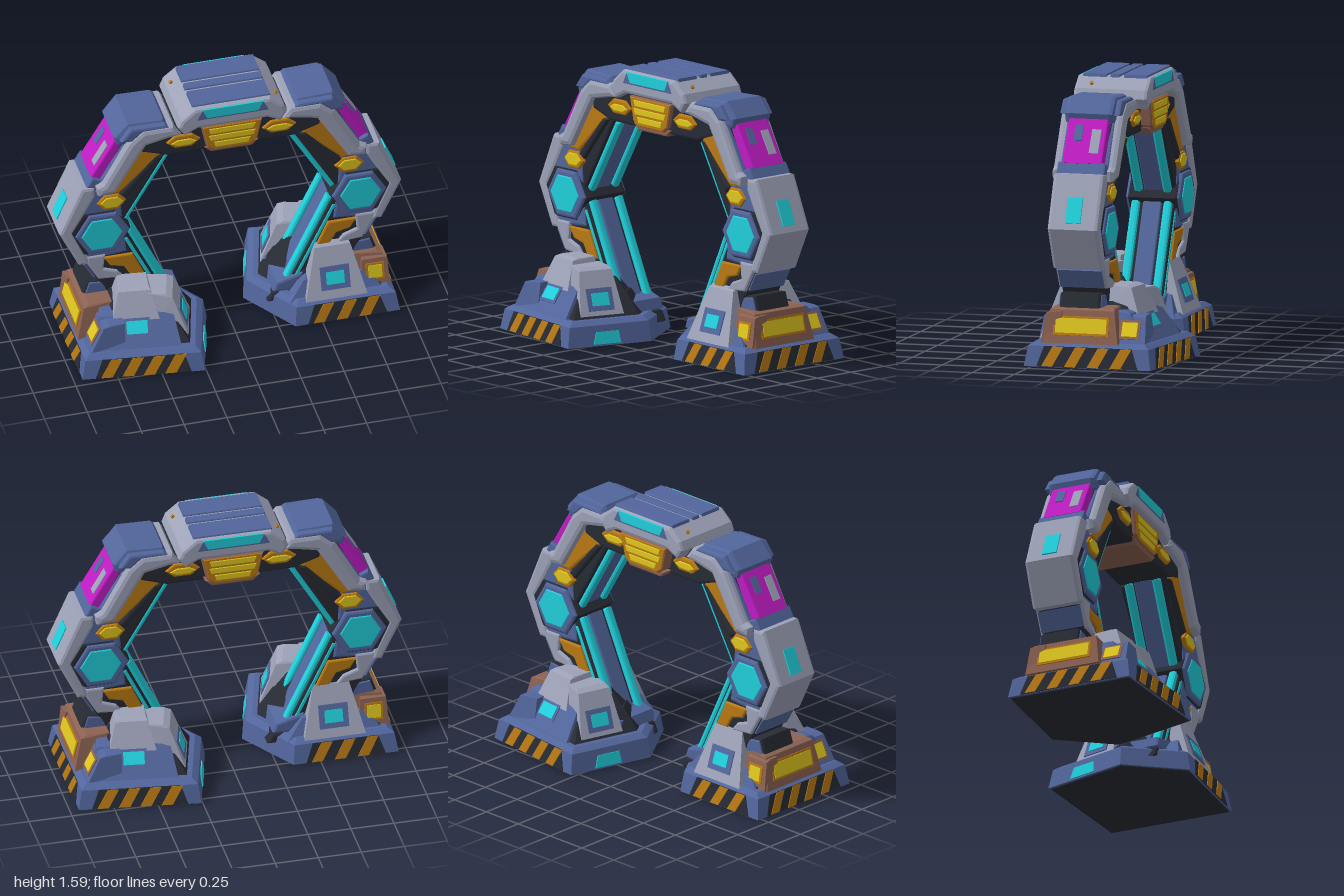
import * as THREE from 'three';
import { ConvexGeometry } from 'three/addons/geometries/ConvexGeometry.js';

const mat = (name, color) => {
  const m = new THREE.MeshStandardMaterial({ color });
  m.name = name;
  return m;
};

export function createModel() {
  const grey = mat('pale grey armour', 0x9da2b8);
  const blue = mat('slate blue frame', 0x52669c);
  const dark = mat('charcoal core', 0x272b34);
  const orange = mat('amber panel', 0xbb7a14);
  const yellow = mat('yellow light', 0xe0c81e);
  const cyan = mat('cyan light', 0x20d0dc);
  const magenta = mat('magenta panel', 0xc01cc4);
  const brown = mat('brown housing', 0x8c6252);

  const add = (parent, name, geometry, material) => {
    const m = new THREE.Mesh(geometry, material);
    m.name = name;
    parent.add(m);
    return m;
  };
  const outline = (pts) => new THREE.Shape(pts.map((p) => new THREE.Vector2(p[0], p[1])));

  // bevelled slab from an x-y outline, centred in z
  const slab = (parent, name, material, pts, half, bevel = 0.015) => {
    const g = new THREE.ExtrudeGeometry(outline(pts), {
      depth: 2 * (half - bevel), bevelEnabled: true, bevelThickness: bevel,
      bevelSize: bevel, bevelOffset: -bevel, bevelSegments: 2,
    });
    g.translate(0, 0, bevel - half);
    return add(parent, name, g, material);
  };
  // bar running from a to b, thickened to the left of its direction
  const strip = (parent, name, material, a, b, t, half, bevel = 0.004) => {
    const dx = b[0] - a[0], dy = b[1] - a[1], l = Math.hypot(dx, dy);
    const ox = (-dy / l) * t, oy = (dx / l) * t;
    return slab(parent, name, material,
      [a, b, [b[0] + ox, b[1] + oy], [a[0] + ox, a[1] + oy]], half, bevel);
  };
  const hexagon = (cx, cy, rx, ry) => [0, 1, 2, 3, 4, 5].map((i) =>
    [cx + rx * Math.cos(i * Math.PI / 3), cy + ry * Math.sin(i * Math.PI / 3) / 0.866]);
  const hull = (parent, name, material, pts) =>
    add(parent, name, new ConvexGeometry(pts.map((p) => new THREE.Vector3(...p))), material);

  // ---------- one side of the arch ----------
  function archHalf() {
    const g = new THREE.Group();
    g.name = 'archSide';
    slab(g, 'armCore', dark, [[-0.01, 1.27], [0.37, 1.25], [0.63, 0.8], [0.3, 0.1], [0.6, 0.1],
      [0.79, 0.46], [0.86, 0.58], [0.93, 0.8], [0.6, 1.42], [-0.01, 1.47]], 0.128);
    slab(g, 'topBeam', dark, [[-0.01, 1.25], [0.37, 1.25], [0.52, 1.3], [0.55, 1.44], [-0.01, 1.47]], 0.155);
    // inner rail with a light strip along each edge
    for (const [a, b, z] of [[[0.625, 0.82], [0.375, 1.25], 0.085], [[0.35, 0.2], [0.605, 0.74], 0.095]]) {
      strip(g, 'innerRail', blue, a, b, 0.02, 0.055, 0.008);
      for (const s of [-1, 1]) strip(g, 'lightStrip', cyan, a, b, 0.036, 0.026, 0.015).position.z = s * z;
    }
    strip(g, 'lowerFrontLight', cyan, [0.36, 0.2], [0.6, 0.7], -0.02, 0.133);
    // upper arm armour
    slab(g, 'shoulderArmour', grey, [[0.29, 1.4], [0.34, 1.47], [0.52, 1.47], [0.6, 1.4], [0.75, 1.13], [0.79, 1.11],
      [0.78, 1.05], [0.68, 1.06], [0.5, 1.36], [0.36, 1.39]], 0.188, 0.028);
    slab(g, 'armInset', orange, [[0.41, 1.26], [0.47, 1.36], [0.55, 1.34], [0.73, 1.04], [0.65, 1.03]], 0.15);
    slab(g, 'armInsetEdge', dark, [[0.4, 1.25], [0.44, 1.26], [0.65, 1.02], [0.61, 0.99]], 0.153);
    slab(g, 'cornerBlock', blue, [[0.34, 1.42], [0.39, 1.5], [0.6, 1.51], [0.68, 1.42], [0.66, 1.36],
      [0.45, 1.36]], 0.145, 0.025);
    slab(g, 'shoulderTrim', blue, [[0.36, 1.46], [0.39, 1.485], [0.59, 1.49], [0.65, 1.41], [0.58, 1.4],
      [0.52, 1.455]], 0.178);
    // magenta panel on the outer slope
    slab(g, 'panelFrame', blue, [[0.56, 1.35], [0.62, 1.37], [0.755, 1.135], [0.805, 1.16], [0.84, 1.1], [0.76, 1.06]], 0.142, 0.01);
    slab(g, 'outerPanel', magenta, [[0.59, 1.34], [0.67, 1.39], [0.81, 1.155], [0.73, 1.11]], 0.118, 0.01);
    strip(g, 'panelWindow', grey, [0.778, 1.208], [0.703, 1.335], -0.006, 0.028, 0.002).position.z = -0.06;
    strip(g, 'panelSlot', blue, [0.74, 1.272], [0.69, 1.356], -0.005, 0.025, 0.002).position.z = 0.045;
    // knee
    slab(g, 'kneeBlock', blue, [[0.64, 1.04], [0.8, 1.08], [0.92, 0.8], [0.83, 0.58], [0.6, 0.6], [0.625, 0.8]], 0.137);
    slab(g, 'kneeArmour', grey, [[0.79, 1.1], [0.87, 1.1], [1.0, 0.8], [0.885, 0.56], [0.82, 0.56],
      [0.84, 0.63], [0.915, 0.8], [0.79, 1.03]], 0.15, 0.02);
    slab(g, 'shinArmour', grey, [[0.73, 0.61], [0.84, 0.61], [0.84, 0.56], [0.77, 0.44], [0.62, 0.43], [0.66, 0.48],
      [0.74, 0.51]], 0.146, 0.012);
    slab(g, 'kneeCap', dark, hexagon(0.77, 0.77, 0.19, 0.145), 0.147);
    slab(g, 'kneeRing', blue, hexagon(0.75, 0.77, 0.16, 0.135), 0.16);
    slab(g, 'kneeLight', cyan, hexagon(0.755, 0.77, 0.12, 0.102), 0.166, 0.006);
    strip(g, 'outerKneeLight', cyan, [0.985, 0.835], [0.925, 0.974], -0.008, 0.045, 0.002);
    slab(g, 'lampFrame', orange, hexagon(0.695, 0.975, 0.085, 0.05), 0.15, 0.01);
    slab(g, 'lamp', yellow, hexagon(0.695, 0.978, 0.068, 0.035), 0.156, 0.005);
    // lower leg
    slab(g, 'legInset', orange, [[0.57, 0.585], [0.74, 0.585], [0.7, 0.52], [0.62, 0.5], [0.58, 0.43], [0.5, 0.43]], 0.143, 0.01);
    strip(g, 'shinBack', blue, [0.785, 0.45], [0.845, 0.555], -0.012, 0.13);
    slab(g, 'heelBrace', dark, [[0.7, 0.41], [0.83, 0.42], [0.86, 0.33], [0.7, 0.15], [0.6, 0.2]], 0.12);
    slab(g, 'heelTrim', blue, [[0.72, 0.4], [0.82, 0.41], [0.845, 0.33], [0.72, 0.2]], 0.126, 0.006);
    slab(g, 'toe', dark, [[0.22, 0.08], [0.25, 0.14], [0.36, 0.16], [0.42, 0.24], [0.5, 0.08]], 0.138);
    slab(g, 'toeCap', blue, [[0.25, 0.15], [0.27, 0.21], [0.37, 0.24], [0.43, 0.26], [0.45, 0.2], [0.36, 0.14]], 0.142);
    // beam side lamp
    slab(g, 'beamLampFrame', orange, hexagon(0.28, 1.345, 0.1, 0.042), 0.17, 0.01);
    slab(g, 'beamLamp', yellow, hexagon(0.28, 1.34, 0.075, 0.02), 0.176, 0.005);
    return g;
  }

  // ---------- crown ----------
  function crown() {
    const g = new THREE.Group();
    g.name = 'crown';
    slab(g, 'crownHousing', grey, [[-0.28, 1.4], [-0.32, 1.46], [-0.3, 1.51], [-0.22, 1.575], [0.22, 1.575],
      [0.3, 1.51], [0.32, 1.46], [0.28, 1.4], [0.2, 1.44], [-0.2, 1.44]], 0.22, 0.02);
    slab(g, 'crownLightFrame', blue, [[-0.21, 1.5], [-0.18, 1.56], [0.18, 1.56], [0.21, 1.5]], 0.221, 0.002);
    slab(g, 'crownLight', cyan, [[-0.15, 1.508], [-0.178, 1.568], [0.178, 1.568], [0.15, 1.508]], 0.223, 0.002);
    for (const [z, half] of [[-0.125, 0.072], [0.115, 0.072], [-0.005, 0.03]])
      slab(g, 'roofPanel', blue, [[-0.235, 1.54], [-0.225, 1.586], [0.225, 1.586], [0.235, 1.54]], half, 0.008).position.z = z;
    for (const s of [-1, 1]) {
      const bolt = add(g, 'bolt', new THREE.CylinderGeometry(0.011, 0.011, 0.012, 8), orange);
      bolt.position.set(s * 0.275, 1.538, s * 0.12);
      bolt.rotation.z = -s * 0.68;
    }
    const panel = [[-0.18, 1.43], [-0.15, 1.29], [-0.11, 1.26], [0.11, 1.26], [0.15, 1.29], [0.18, 1.43]];
    slab(g, 'centreFrame', brown, panel, 0.2, 0.012);
    slab(g, 'centrePanel', orange, panel.map(([x, y]) => [x * 0.95, 1.345 + (y - 1.345) * 0.94]), 0.203, 0.004);
    for (const [y, w] of [[1.3, 0.095], [1.347, 0.125], [1.394, 0.125]])
      slab(g, 'centreLight', yellow, [[-w - 0.012, y + 0.018], [-w, y - 0.018], [w, y - 0.018], [w + 0.012, y + 0.018]], 0.207, 0.004);
    slab(g, 'centreLip', brown, [[-0.16, 1.275], [-0.12, 1.235], [0.12, 1.235], [0.16, 1.275]], 0.185, 0.01);
    return g;
  }

  // ---------- foot ----------
  const foot = [[0.12, -0.05], [0.34, 0.285], [0.95, 0.285], [0.95, -0.46], [0.26, -0.55]];
  const edgeOf = (i) => {
    const a = foot[i % 5], b = foot[(i + 1) % 5];
    const dx = b[0] - a[0], dz = b[1] - a[1], l = Math.hypot(dx, dz);
    return { a, b, l, n: [-dz / l, dx / l], yaw: Math.atan2(-dz, dx) };
  };
  const ring = (d, y) => foot.map((p, i) => {
    const m = edgeOf(i + 4).n, n = edgeOf(i).n, k = d / (1 + m[0] * n[0] + m[1] * n[1]);
    return [p[0] - k * (m[0] + n[0]), y, p[1] - k * (m[1] + n[1])];
  });
  const plate = (parent, name, material, pts, t) =>
    add(parent, name, new THREE.ExtrudeGeometry(outline(pts), { depth: t, bevelEnabled: false }), material);

  // tapered housing with a framed window on its sloping face
  function housing(parent, name, body, [x, y, z], yaw, [w, h, d], lean, top, window) {
    const g = new THREE.Group();
    g.name = name;
    g.position.set(x, y, z);
    g.rotation.y = yaw;
    parent.add(g);
    const pts = [];
    for (const s of [-1, 1]) pts.push([s * w / 2, 0, 0], [s * w * top, h * 0.94, -lean * 0.94],
      [s * w * (top - 0.03), h, -lean - 0.03], [s * w / 2, 0, -d], [s * w * (top - 0.03), h, -d]);
    hull(g, name + 'Body', body, pts);
    if (!window) return;
    const { frame, light, size: [ww, wh], at, edge } = window, tilt = Math.atan2(lean, h);
    for (const [n, m, border, out] of [['Frame', frame, edge, 0.002], ['Light', light, 0, 0.006]]) {
      const p = add(g, name + n, new THREE.BoxGeometry(ww + border, wh + border, 0.008), m);
      p.position.set(0, h * at + out * Math.sin(tilt), -lean * at + out * Math.cos(tilt));
      p.rotation.x = -tilt;
    }
  }

  function footBase() {
    const g = new THREE.Group();
    g.name = 'foot';
    hull(g, 'sole', dark, [...ring(0.012, 0), ...ring(0.012, 0.02)]);
    hull(g, 'plinth', blue, [...ring(0, 0.006), ...ring(0.02, 0.122), ...ring(0.055, 0.147)]);
    hull(g, 'deck', dark, [...ring(0.08, 0.14), ...ring(0.17, 0.27)]);
    hull(g, 'pedestal', dark, [...ring(0.17, 0.26), ...ring(0.25, 0.36)]);
    // hazard walls and the inner light
    for (const i of [1, 2, 3, 4]) {
      const e = edgeOf(i), wall = new THREE.Group();
      wall.name = 'wall';
      wall.position.set((e.a[0] + e.b[0]) / 2, 0.006, (e.a[1] + e.b[1]) / 2);
      wall.rotation.set(-Math.atan2(0.02, 0.116), e.yaw, 0, 'YXZ');
      g.add(wall);
      if (i === 4) {
        plate(wall, 'wallLight', cyan, [[-0.1, 0.01], [0.07, 0.01], [0.06, 0.08], [-0.08, 0.08]], 0.006);
        continue;
      }
      const w = e.l / 2 - 0.075;
      plate(wall, 'wallPanel', dark, [[-w, 0.002], [w, 0.002], [w - 0.04, 0.118], [-w + 0.04, 0.118]], 0.004);
      const count = Math.floor((2 * w - 0.08) / 0.115), pitch = (2 * w - 0.06) / count;
      for (let k = 0; k < count; k++) {
        const x = -w + 0.03 + k * pitch;
        plate(wall, 'hazardStripe', orange, [[x, 0.004], [x + 0.064, 0.004], [x + 0.124, 0.116], [x + 0.06, 0.116]], 0.008);
      }
    }
    // equipment around the leg
    const back = edgeOf(3).yaw, inner = edgeOf(4).yaw, q = Math.PI / 2;
    const win = (frame, light, ww, wh, at, edge) => ({ frame, light, size: [ww, wh], at, edge });
    housing(g, 'frontHousing', grey, [0.59, 0.13, 0.25], 0, [0.36, 0.32, 0.2], 0.11, 0.29, win(blue, cyan, 0.105, 0.075, 0.38, 0.065));
    housing(g, 'frontSideHousing', blue, [0.6, 0.12, 0.225], 0, [0.56, 0.13, 0.2], 0.05, 0.33);
    housing(g, 'outerHousing', brown, [0.925, 0.14, -0.04], q, [0.44, 0.2, 0.22], 0.045, 0.43, win(orange, yellow, 0.3, 0.085, 0.5, 0.025));
    housing(g, 'outerFrontLamp', brown, [0.83, 0.14, 0.195], 0, [0.17, 0.18, 0.12], 0.03, 0.44, win(orange, yellow, 0.08, 0.08, 0.5, 0.025));
    housing(g, 'outerBackLamp', blue, [0.885, 0.14, -0.31], q, [0.2, 0.16, 0.2], 0.08, 0.42, win(brown, yellow, 0.09, 0.085, 0.5, 0.03));
    housing(g, 'backHousing', blue, [0.62, 0.13, -0.45], back, [0.5, 0.19, 0.24], 0.13, 0.42, win(blue, cyan, 0.12, 0.075, 0.62, 0.03));
    housing(g, 'backUpperHousing', grey, [0.61, 0.28, -0.35], back, [0.27, 0.17, 0.22], 0.07, 0.34);
    housing(g, 'innerHousing', grey, [0.27, 0.13, -0.28], inner, [0.28, 0.29, 0.26], 0.11, 0.36, win(blue, cyan, 0.105, 0.075, 0.4, 0.055));
    return g;
  }

  // ---------- assembly: two sides related by a half turn ----------
  const model = new THREE.Group();
  model.name = 'archGate';
  const arch = new THREE.Group();
  arch.name = 'arch';
  arch.position.z = -0.015;
  model.add(arch);
  for (const turn of [0, Math.PI]) {
    const side = archHalf(), base = footBase();
    side.rotation.y = base.rotation.y = turn;
    arch.add(side);
    model.add(base);
  }
  const top = crown();
  top.position.z = -0.02;
  arch.add(top);
  return model;
}
